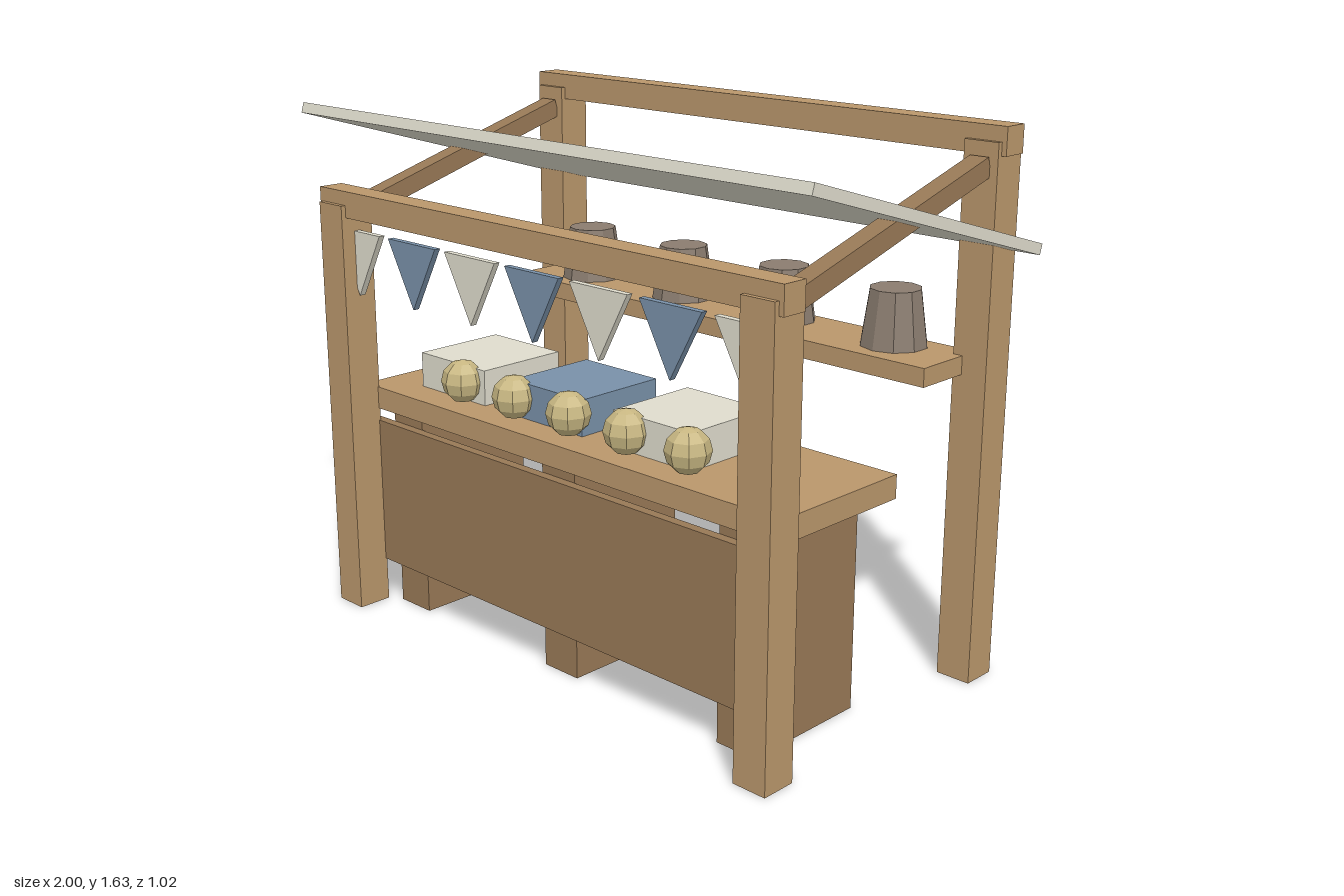
import * as THREE from 'three';

const mat = (color) => new THREE.MeshStandardMaterial({ color, flatShading: true });

export function createModel() {
  const stall = new THREE.Group();
  stall.name = 'marketStall';

  const wood = mat(0xb9966b);
  const darkWood = mat(0x977856);
  const cream = mat(0xdedbcc);
  const blue = mat(0x7890a8);
  const potClay = mat(0x8a7c6f);
  const fruitSkin = mat(0xc8b782);

  const add = (name, geometry, material, x, y, z) => {
    const mesh = new THREE.Mesh(geometry, material);
    mesh.name = name;
    mesh.position.set(x, y, z);
    stall.add(mesh);
    return mesh;
  };
  // Box given by its [min, max] range on each axis
  const box = (name, material, [x0, x1], [y0, y1], [z0, z1]) =>
    add(name, new THREE.BoxGeometry(x1 - x0, y1 - y0, z1 - z0), material,
      (x0 + x1) / 2, (y0 + y1) / 2, (z0 + z1) / 2);

  // Posts and sloping rafters, mirrored left and right
  for (const side of [-1, 1]) {
    const x = side * 0.855;
    const span = [x - 0.055, x + 0.055];
    box('frontPost', wood, span, [0, 1.31], [0.4, 0.51]);
    box('backPost', wood, span, [0, 1.585], [-0.51, -0.4]);
    const rafter = add('rafter', new THREE.BoxGeometry(0.06, 0.057, 0.835), darkWood, x, 1.4, 0);
    rafter.rotation.x = Math.atan2(0.233, 0.8);
  }

  // Cross beams
  box('frontBeam', wood, [-0.925, 0.925], [1.272, 1.353], [0.415, 0.495]);
  box('backBeam', wood, [-0.925, 0.925], [1.547, 1.628], [-0.495, -0.415]);

  // Tilted awning board, higher at the front
  const awning = add('awning', new THREE.BoxGeometry(2, 0.032, 1.03), cream, 0, 1.44, -0.003);
  awning.rotation.x = -Math.atan2(0.294, 0.993);

  // Counter with its front panel and legs
  box('counterTop', wood, [-0.86, 0.86], [0.65, 0.72], [-0.073, 0.405]);
  box('frontPanel', darkWood, [-0.86, 0.86], [0.14, 0.61], [0.375, 0.405]);
  for (const x of [-0.69, 0, 0.69]) {
    box('counterLeg', darkWood, [x - 0.068, x + 0.068], [0, 0.65], [-0.04, 0.375]);
  }

  // Back shelf with upturned pots
  box('backShelf', wood, [-0.83, 0.83], [0.925, 0.98], [-0.465, -0.22]);
  const potGeometry = new THREE.CylinderGeometry(0.076, 0.1, 0.168, 10);
  for (let i = 0; i < 4; i++) {
    add('pot', potGeometry, potClay, -0.62 + i * 0.413, 1.064, -0.365);
  }

  // Crates on the counter
  [-0.555, -0.128, 0.3].forEach((x, i) => {
    box('crate', i === 1 ? blue : cream, [x - 0.15, x + 0.15], [0.72, 0.83], [-0.005, 0.3]);
  });

  // Row of fruit along the front edge
  const fruitGeometry = new THREE.SphereGeometry(0.067, 8, 6);
  for (let i = 0; i < 5; i++) {
    add('fruit', fruitGeometry, fruitSkin, -0.485 + i * 0.235, 0.787, 0.318);
  }

  // Bunting flags under the front beam
  const flagShape = new THREE.Shape([
    new THREE.Vector2(-0.11, 0),
    new THREE.Vector2(0, -0.2),
    new THREE.Vector2(0.11, 0),
  ]);
  const flagGeometry = new THREE.ExtrudeGeometry(flagShape, { depth: 0.02, bevelEnabled: false });
  for (let i = -3; i <= 3; i++) {
    add('buntingFlag', flagGeometry, i % 2 ? cream : blue, i * 0.2625, 1.228, 0.445);
  }

  return stall;
}
